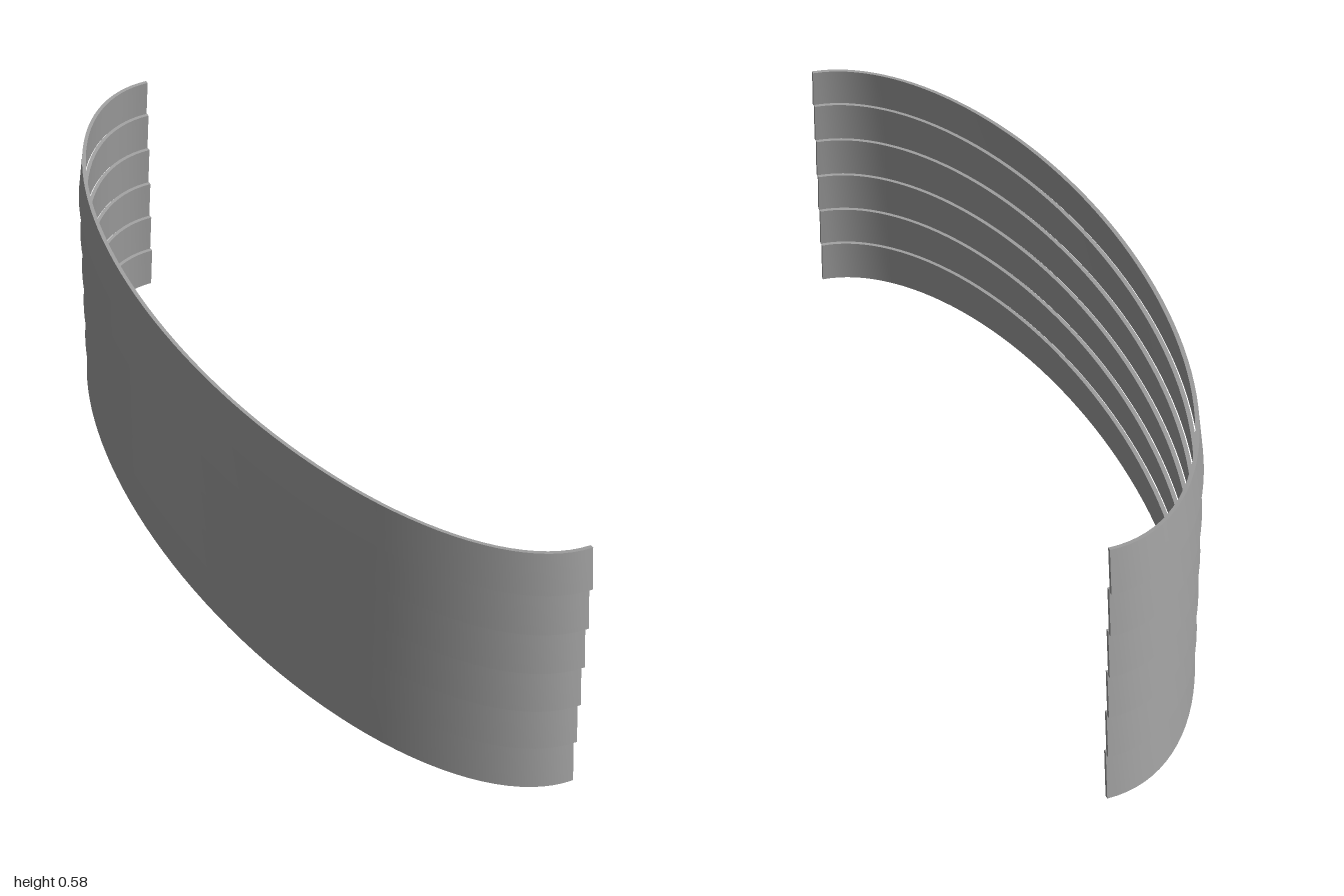
import * as THREE from 'three';
import { mergeGeometries } from 'three/addons/utils/BufferGeometryUtils.js';

const SEGMENTS = 64;
const CENTRE_X = 0.211;
const RADIUS_X = 0.423;
const RADIUS_Z = 1.0;
const THICKNESS = 0.009;
const LEAN = 0.012;

// Point on the half ellipse, moved inwards by inset
function wallPoint(step, inset, y) {
  const a = -Math.PI / 2 + (Math.PI * step) / SEGMENTS;
  return [CENTRE_X - (RADIUS_X - inset) * Math.cos(a), y, (RADIUS_Z - inset) * Math.sin(a)];
}

function makeGeometry(points, index) {
  const geometry = new THREE.BufferGeometry();
  geometry.setAttribute('position', new THREE.Float32BufferAttribute(points, 3));
  geometry.setIndex(index);
  geometry.computeVertexNormals();
  return geometry;
}

// Sweep one leaning board section round the curve, keeping its long edges sharp
function boardGeometry(bottom, top) {
  const section = [
    [0, bottom + 0.001],
    [LEAN, top],
    [LEAN + THICKNESS, top - 0.001],
    [THICKNESS, bottom],
  ];
  const pieces = section.map((from, k) => {
    const to = section[(k + 1) % 4];
    const points = [];
    const index = [];
    for (let i = 0; i <= SEGMENTS; i++) {
      points.push(...wallPoint(i, ...from), ...wallPoint(i, ...to));
      if (i < SEGMENTS) {
        const p = i * 2;
        index.push(p, p + 2, p + 1, p + 1, p + 2, p + 3);
      }
    }
    return makeGeometry(points, index);
  });
  // Flat cut ends
  const start = section.flatMap((c) => wallPoint(0, ...c));
  const end = section.flatMap((c) => wallPoint(SEGMENTS, ...c));
  pieces.push(makeGeometry(start, [0, 1, 2, 0, 2, 3]));
  pieces.push(makeGeometry(end, [0, 2, 1, 0, 3, 2]));
  return mergeGeometries(pieces);
}

export function createModel() {
  const group = new THREE.Group();
  group.name = 'curvedSidingWall';
  const grey = new THREE.MeshStandardMaterial({ color: 0xa0a0a0 });
  grey.name = 'grey';

  // Overlapping boards, stacked from the ground up
  const levels = [0, 0.102, 0.198, 0.294, 0.39, 0.485, 0.577];
  for (let i = 0; i < levels.length - 1; i++) {
    const overlap = i < levels.length - 2 ? 0.003 : 0;
    const board = new THREE.Mesh(boardGeometry(levels[i], levels[i + 1] + overlap), grey);
    board.name = `sidingBoard${i + 1}`;
    group.add(board);
  }
  return group;
}
